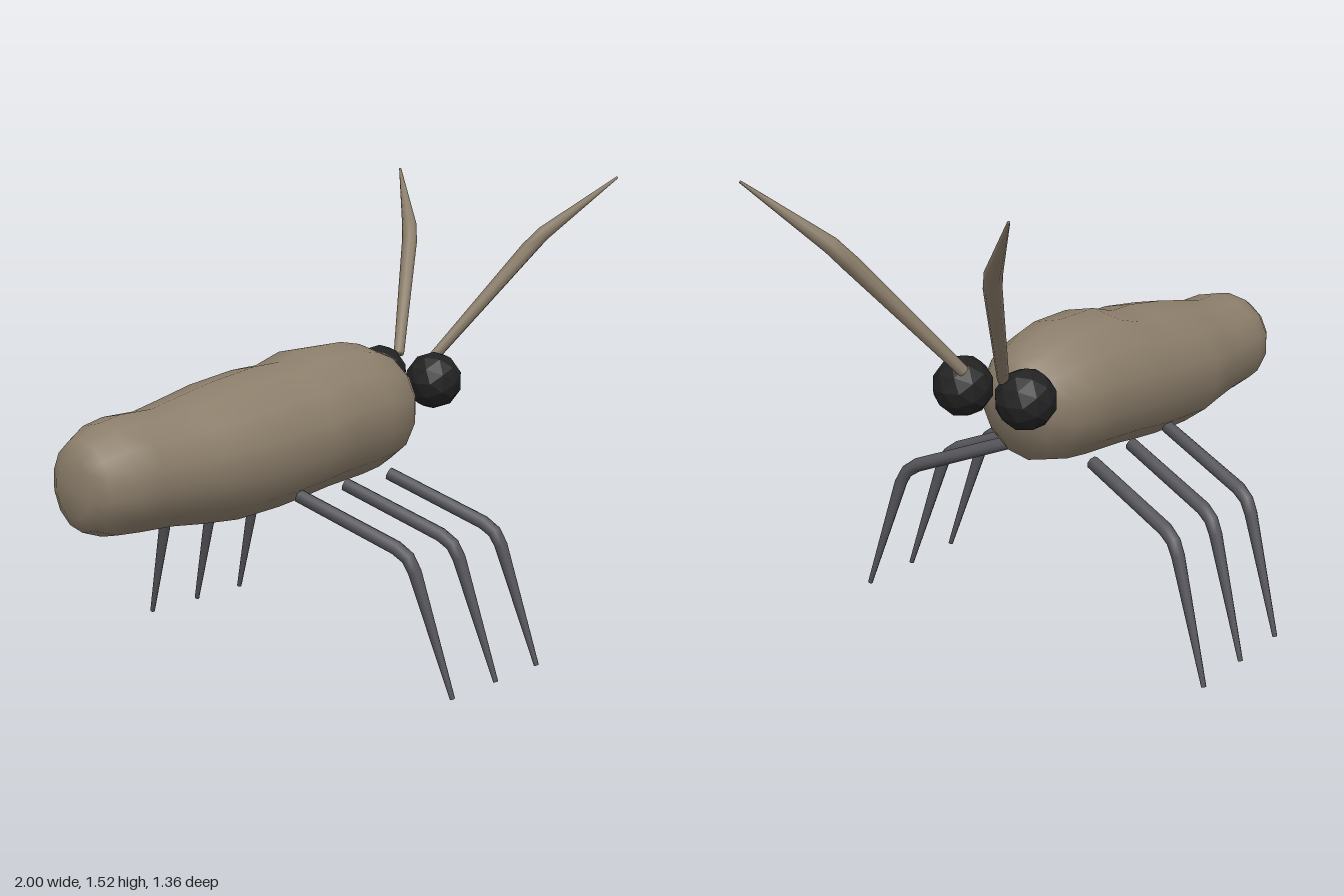
import * as THREE from 'three';

const mat = (color) => new THREE.MeshStandardMaterial({ color });

// Smooth skin over a list of closed rings, each ring turning anticlockwise seen from the far end
function skin(rings) {
  const n = rings[0].length, index = [];
  for (let i = 0; i < rings.length - 1; i++) {
    for (let j = 0; j < n; j++) {
      const k = (j + 1) % n;
      const a = i * n + j, b = i * n + k, c = b + n, d = a + n;
      index.push(a, b, c, a, c, d);
    }
  }
  const geo = new THREE.BufferGeometry().setFromPoints(rings.flat());
  geo.setIndex(index);
  geo.computeVertexNormals();
  return geo;
}

// Tapered round limb through points given as [x, y, z, radius], closed at both ends
function limb(points, sides = 8) {
  const pos = points.map((p) => new THREE.Vector3(p[0], p[1], p[2]));
  const last = points.length - 1;
  const ring = (i, r) => {
    const t = pos[Math.min(i + 1, last)].clone().sub(pos[Math.max(i - 1, 0)]).normalize();
    const n = new THREE.Vector3(1, 0, 0).cross(t).normalize();
    const b = t.clone().cross(n);
    return Array.from({ length: sides }, (_, j) => {
      const a = (j / sides) * Math.PI * 2;
      return pos[i].clone().addScaledVector(n, r * Math.cos(a)).addScaledVector(b, r * Math.sin(a));
    });
  };
  return skin([ring(0, 0), ...points.map((p, i) => ring(i, p[3])), ring(last, 0)]);
}

export function createModel() {
  const model = new THREE.Group();
  const shell = mat(0x8c7e6b), legGrey = mat(0x55555a), black = mat(0x222222);
  const add = (name, geometry, material) => {
    const mesh = new THREE.Mesh(geometry, material);
    mesh.name = name;
    model.add(mesh);
    return mesh;
  };

  // Body sections from tail to head: x, bottom, top, half width
  const sections = [
    [-1, 0.69, 0.69, 0], [-1, 0.61, 0.78, 0.075], [-0.97, 0.565, 0.835, 0.125],
    [-0.9, 0.54, 0.872, 0.165], [-0.82, 0.535, 0.887, 0.183], [-0.7, 0.53, 0.887, 0.19],
    [-0.58, 0.515, 0.912, 0.208], [-0.45, 0.505, 0.938, 0.238], [-0.27, 0.512, 0.963, 0.238],
    [-0.16, 0.525, 0.965, 0.24], [-0.05, 0.54, 0.997, 0.248], [0.13, 0.552, 0.998, 0.232],
    [0.22, 0.562, 0.982, 0.212], [0.3, 0.582, 0.952, 0.18], [0.35, 0.635, 0.92, 0.14],
    [0.385, 0.71, 0.875, 0.085], [0.4, 0.8, 0.8, 0],
  ];
  const sides = 14;
  add('body', skin(sections.map(([x, low, high, w]) =>
    Array.from({ length: sides }, (_, j) => {
      const a = (j / sides) * Math.PI * 2;
      return new THREE.Vector3(x, (low + high) / 2 + Math.cos(a) * (high - low) / 2, Math.sin(a) * w);
    }))), shell);

  for (const s of [1, -1]) {
    const side = s > 0 ? 'Front' : 'Back';

    // Faceted eye
    const eyeMat = black.clone();
    eyeMat.flatShading = true;
    add('eye' + side, new THREE.IcosahedronGeometry(0.096, 1), eyeMat).position.set(0.465, 0.845, s * 0.12);

    // Bent antenna, thickest at its elbow
    add('antenna' + side, limb([
      [0.515, 0.91, s * 0.075, 0.018], [0.79, 1.27, s * 0.26, 0.027],
      [0.83, 1.325, s * 0.295, 0.026], [0.995, 1.515, s * 0.478, 0.004],
    ]), shell);

    // Three jointed legs
    for (let i = 0; i < 3; i++) {
      const x = -0.245 + i * 0.215;
      add('leg' + side + (i + 1), limb([
        [x, 0.575, s * 0.165, 0.022], [x + 0.08, 0.452, s * 0.49, 0.023],
        [x + 0.091, 0.425, s * 0.527, 0.022], [x + 0.098, 0.385, s * 0.548, 0.021],
        [x + 0.135, 0.004, s * 0.67, 0.008],
      ]), legGrey);
    }
  }
  return model;
}
